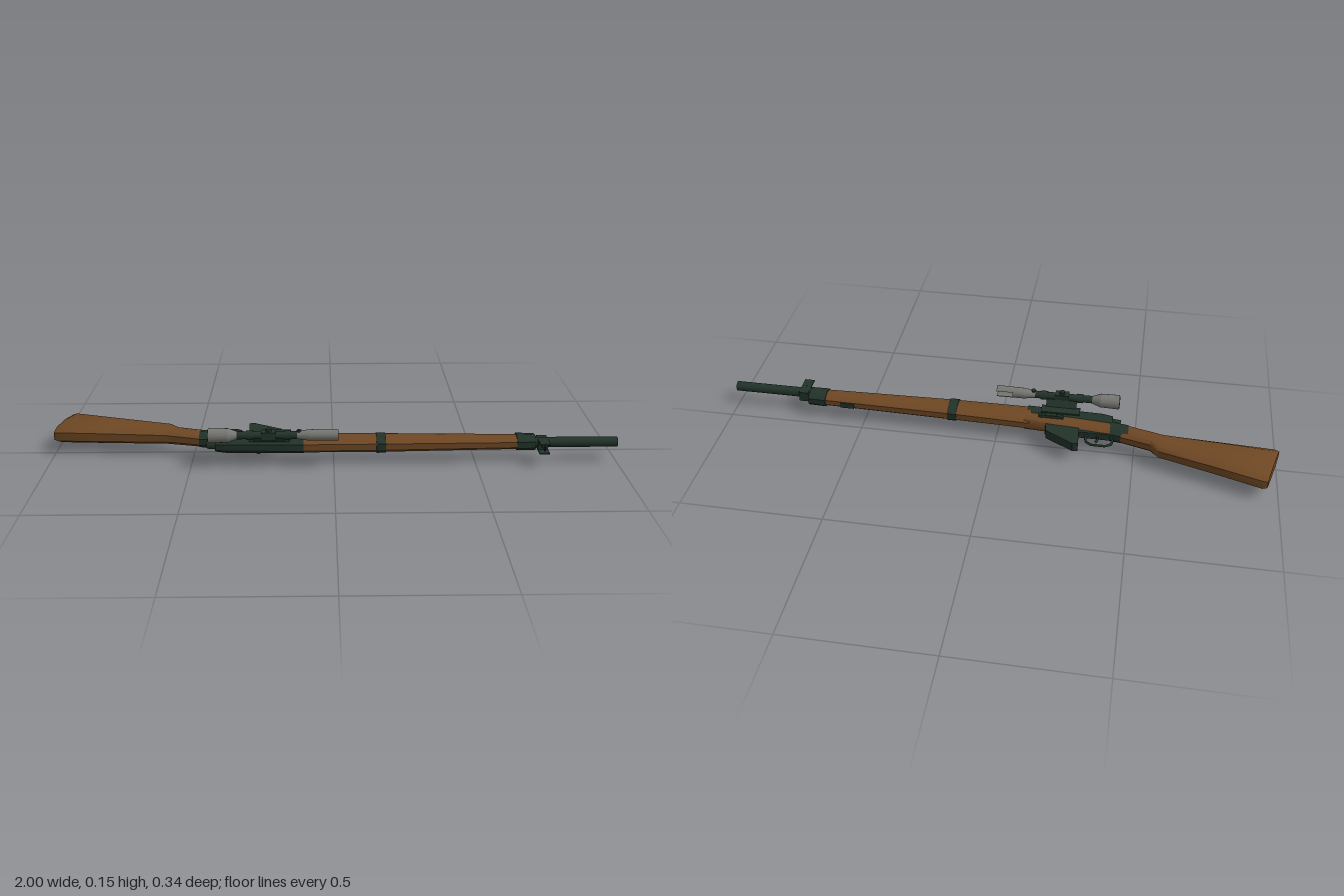
import * as THREE from 'three';
import { toCreasedNormals } from 'three/addons/utils/BufferGeometryUtils.js';

const Y = 0.066; // height of the rifle's plane of symmetry (it lies on its side)

export function createModel() {
  const rifle = new THREE.Group();
  rifle.name = 'rifle';

  const mat = (name, color, side = THREE.FrontSide) => {
    const m = new THREE.MeshStandardMaterial({ color, side });
    m.name = name;
    return m;
  };
  const wood = mat('walnut wood', 0x6f4824);
  const steel = mat('green-black steel', 0x22332a);
  const grey = mat('grey metal', 0x777873, THREE.DoubleSide);

  const add = (name, geometry, material, x = 0, y = 0, z = 0) => {
    const mesh = new THREE.Mesh(geometry, material);
    mesh.name = name;
    mesh.position.set(x, y, z);
    rifle.add(mesh);
    return mesh;
  };
  const box = (name, material, x, y, z, w, h, d) =>
    add(name, new THREE.BoxGeometry(w, h, d), material, x, y, z);

  // Round bar along x, r0 at the rear and r1 at the front
  const rod = (name, material, x0, x1, y, z, r0, r1 = r0, sides = 16) => {
    const g = new THREE.CylinderGeometry(r1, r0, x1 - x0, sides);
    g.rotateZ(-Math.PI / 2);
    return add(name, g, material, (x0 + x1) / 2, y, z);
  };

  // Flat plate outlined in x and z, with thickness in y
  const plate = (name, material, points, y, thick) => {
    const shape = new THREE.Shape(points.map(([x, z]) => new THREE.Vector2(x, -z)));
    const g = new THREE.ExtrudeGeometry(shape, { depth: thick, bevelEnabled: false });
    g.rotateX(-Math.PI / 2);
    return add(name, g, material, 0, y - thick / 2, 0);
  };

  // Bent wire through a list of points
  const wire = (name, points, r) => {
    const path = new THREE.CurvePath();
    const v = points.map((p) => new THREE.Vector3(...p));
    for (let i = 1; i < v.length; i++) path.add(new THREE.LineCurve3(v[i - 1], v[i]));
    return add(name, new THREE.TubeGeometry(path, (v.length - 1) * 4, r, 6), steel);
  };

  // Loft along x; each section is [xTop, zTop, xBottom, zBottom, halfWidth]
  const half = [[1, 0.42], [0.7, 0.82], [0, 1], [-0.7, 0.82], [-1, 0.42]];
  const ring = [...half, ...half.map(([t, w]) => [t, -w]).reverse()];
  const loft = (name, material, sections) => {
    const pos = [], idx = [], n = ring.length, last = (sections.length - 1) * n;
    for (const [xt, zt, xb, zb, w] of sections) {
      for (const [t, s] of ring) {
        const k = (1 - t) / 2;
        pos.push(xt + (xb - xt) * k, Y + s * w, zt + (zb - zt) * k);
      }
    }
    for (let i = 0; i < last; i += n) {
      for (let j = 0; j < n; j++) {
        const a = i + j, c = i + (j + 1) % n;
        idx.push(a, a + n, c, c, a + n, c + n);
      }
    }
    for (let j = 1; j < n - 1; j++) {
      idx.push(0, j, j + 1, last, last + j + 1, last + j);
    }
    let g = new THREE.BufferGeometry();
    g.setAttribute('position', new THREE.Float32BufferAttribute(pos, 3));
    g.setIndex(idx);
    g = toCreasedNormals(g, 0.65);
    return add(name, g, material);
  };
  const straight = (x, top, bottom, w) => [x, top, x, bottom, w];

  // Wooden furniture
  loft('buttStock', wood, [
    [-1, 0.005, -0.955, -0.165, 0.032],
    [-0.985, 0.011, -0.94, -0.168, 0.038],
    [-0.8, 0.022, -0.77, -0.115, 0.035],
    [-0.6, 0.034, -0.585, -0.062, 0.03],
    [-0.56, 0.043, -0.557, -0.03, 0.028],
    [-0.46, 0.07, -0.45, -0.002, 0.026],
  ]);
  loft('lowerStock', wood, [
    straight(-0.43, 0.068, 0.006, 0.027),
    straight(-0.3, 0.08, 0.016, 0.028),
    straight(-0.1, 0.085, 0.03, 0.029),
  ]);
  loft('foreStock', wood, [
    straight(-0.12, 0.125, 0.026, 0.028),
    straight(0.16, 0.122, 0.035, 0.028),
    straight(0.65, 0.11, 0.044, 0.023),
  ]);

  // Steel bands around the wood
  loft('wristBand', steel, [
    straight(-0.475, 0.068, -0.004, 0.028),
    straight(-0.41, 0.078, 0.006, 0.03),
  ]);
  loft('middleBand', steel, [
    straight(0.15, 0.126, 0.032, 0.031),
    straight(0.183, 0.125, 0.033, 0.031),
  ]);
  loft('frontBand', steel, [
    straight(0.645, 0.113, 0.04, 0.028),
    straight(0.71, 0.112, 0.042, 0.027),
  ]);
  box('swivelPlate', steel, 0.56, Y, 0.042, 0.05, 0.02, 0.012);

  // Barrel and hooded front sight
  rod('barrel', steel, 0.68, 1, 0.069, 0.09, 0.018);
  box('sightBase', steel, 0.735, Y, 0.09, 0.036, 0.038, 0.05);
  for (const side of [-1, 1]) {
    box('sightEar', steel, 0.735, Y + side * 0.017, 0.13, 0.036, 0.005, 0.04);
  }
  box('sightPost', steel, 0.735, Y, 0.122, 0.012, 0.005, 0.03);
  add('sightRing', new THREE.TorusGeometry(0.007, 0.0025, 6, 12), steel, 0.735, Y, 0.143)
    .rotation.y = Math.PI / 2;

  // Receiver and bolt
  loft('receiver', steel, [
    straight(-0.415, 0.115, 0.05, 0.024),
    straight(-0.38, 0.122, 0.05, 0.027),
    straight(-0.105, 0.127, 0.06, 0.028),
  ]);
  rod('cockingPiece', steel, -0.445, -0.4, Y, 0.09, 0.014, 0.018, 12);
  box('boltRoot', steel, -0.265, 0.037, 0.056, 0.03, 0.016, 0.02);
  wire('boltHandle', [[-0.265, 0.036, 0.056], [-0.268, 0.028, 0.038], [-0.27, 0.013, 0.021]], 0.0055);
  add('boltKnob', new THREE.SphereGeometry(0.0115, 12, 8), steel, -0.27, 0.0115, 0.02);
  box('rightRail', steel, -0.205, 0.036, 0.056, 0.07, 0.008, 0.013);
  box('boltCatch', steel, -0.195, 0.098, 0.054, 0.09, 0.012, 0.012);
  rod('catchPivot', steel, -0.215, -0.175, 0.102, 0.056, 0.007, 0.007, 8);

  // Magazine, trigger and guard
  plate('magazine', steel, [
    [-0.305, -0.068], [-0.285, -0.07], [-0.185, -0.012], [-0.178, 0.03], [-0.3, 0.03],
  ], Y, 0.034);
  box('floorPlate', steel, -0.3, Y, 0.01, 0.24, 0.026, 0.012);
  wire('triggerGuard', [
    [-0.41, Y, 0.012], [-0.423, Y, -0.008], [-0.42, Y, -0.032], [-0.4, Y, -0.046],
    [-0.35, Y, -0.046], [-0.33, Y, -0.032], [-0.326, Y, -0.008], [-0.335, Y, 0.012],
  ], 0.0045);
  wire('trigger', [[-0.365, Y, 0.01], [-0.372, Y, -0.012], [-0.362, Y, -0.032]], 0.004);

  // Side-mounted telescopic sight
  const sy = 0.123, sz = 0.144;
  rod('eyepiece', grey, -0.433, -0.365, sy, sz, 0.0265, 0.025);
  rod('eyepieceCone', grey, -0.365, -0.335, sy, sz, 0.025, 0.014);
  rod('eyepieceLens', steel, -0.435, -0.432, sy, sz, 0.022);
  rod('scopeTube', steel, -0.337, -0.125, sy, sz, 0.0135);
  rod('objectiveCone', grey, -0.127, -0.085, sy, sz, 0.0135, 0.0195);
  rod('objectiveBell', grey, -0.085, -0.045, sy, sz, 0.0195, 0.02);
  const hood = new THREE.CylinderGeometry(0.0205, 0.02, 0.06, 16, 1, true,
    Math.PI + 0.5, Math.PI * 2 - 1);
  hood.rotateZ(-Math.PI / 2);
  add('objectiveHood', hood, grey, -0.015, sy, sz);
  for (const x of [-0.29, -0.16]) rod('scopeRing', steel, x - 0.012, x + 0.012, sy, sz, 0.0165);
  box('turretBlock', steel, -0.225, sy, sz, 0.05, 0.03, 0.03);
  add('turretKnob', new THREE.CylinderGeometry(0.01, 0.01, 0.012, 12), steel, -0.225, sy + 0.018, sz);
  add('rangeKnob', new THREE.CylinderGeometry(0.008, 0.008, 0.018, 12), steel, -0.12, sy + 0.01, sz);

  // Mount joining the scope to the receiver
  box('mountArm', steel, -0.225, 0.104, 0.124, 0.11, 0.03, 0.012).rotation.x = 0.6;
  box('mountFoot', steel, -0.225, 0.092, 0.1, 0.14, 0.01, 0.04);

  return rifle;
}
